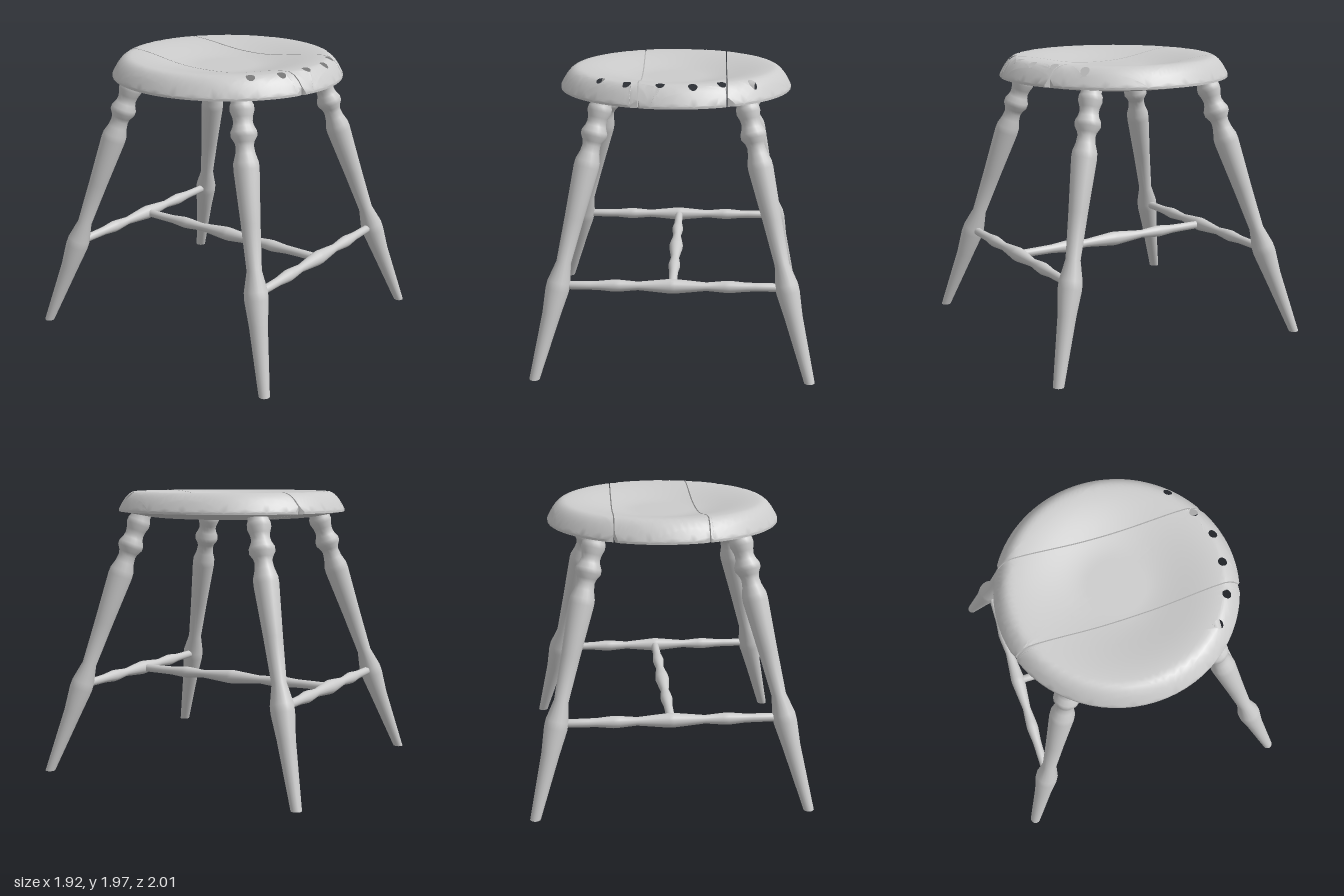
import * as THREE from 'three';
import { toCreasedNormals } from 'three/addons/utils/BufferGeometryUtils.js';

const grey = new THREE.MeshStandardMaterial({ color: 0xcccccc });
const SEAT_R = 0.81;
const SLAB = 0.15;

function add(parent, geometry, name) {
  const mesh = new THREE.Mesh(geometry, grey);
  mesh.name = name;
  parent.add(mesh);
  return mesh;
}

// Turned part: profile of [radius, position], stood along the line from a to b.
// The profile positions run from y0 to y1.
function turned(profile, y0, y1, a, b) {
  const points = profile.map(([r, y]) => new THREE.Vector2(r, (y - y0) / (y1 - y0) * a.distanceTo(b)));
  const geo = new THREE.LatheGeometry(points, 18);
  const dir = b.clone().sub(a).normalize();
  geo.applyQuaternion(new THREE.Quaternion().setFromUnitVectors(new THREE.Vector3(0, 1, 0), dir));
  geo.translate(a.x, a.y, a.z);
  return geo;
}

// Halve every edge longer than max, so a flat slab can be bent smoothly.
function subdivide(geometry, max) {
  const src = geometry.index ? geometry.toNonIndexed() : geometry;
  const p = src.attributes.position;
  const stack = [], out = [];
  for (let i = 0; i < p.count; i += 3) {
    stack.push([0, 1, 2].map((k) => new THREE.Vector3().fromBufferAttribute(p, i + k)));
  }
  while (stack.length) {
    const t = stack.pop();
    const len = t.map((v, k) => v.distanceTo(t[(k + 1) % 3]));
    const k = len.indexOf(Math.max(...len));
    if (len[k] <= max) {
      t.forEach((v) => out.push(v.x, v.y, v.z));
      continue;
    }
    const [a, b, c] = [t[k], t[(k + 1) % 3], t[(k + 2) % 3]];
    const m = a.clone().add(b).multiplyScalar(0.5);
    stack.push([a, m, c], [m, b, c]);
  }
  const geo = new THREE.BufferGeometry();
  geo.setAttribute('position', new THREE.Float32BufferAttribute(out, 3));
  return geo;
}

// Dished top with a rolled rim, and a nearly flat underside with a lifted edge.
function seatTop(x, z) {
  const r = Math.hypot(x, z);
  if (r < 0.69) return 1.895 + 0.075 * THREE.MathUtils.smoothstep(r, 0.2, 0.69);
  return 1.97 - 0.125 * ((r - 0.69) / 0.12) ** 2;
}
function seatBottom(x, z) {
  const r = Math.hypot(x, z);
  return 1.785 + 0.045 * THREE.MathUtils.smoothstep(r, 0.5, 0.9) / 0.87;
}

// One plank: the disc clipped between two seam lines, with its drilled holes.
function plank(left, right, holes) {
  const outline = [];
  for (let i = 0; i < 72; i++) {
    const a = i / 72 * Math.PI * 2;
    const z = SEAT_R * Math.sin(a);
    const x = THREE.MathUtils.clamp(SEAT_R * Math.cos(a), left(z), right(z));
    if (Math.hypot(x, z) <= SEAT_R + 1e-6) outline.push(new THREE.Vector2(x, -z));
  }
  const shape = new THREE.Shape(outline);
  for (const [x, z] of holes) {
    const path = new THREE.Path();
    path.absarc(x, -z, 0.03, 0, Math.PI * 2, true);
    shape.holes.push(path);
  }
  const slab = new THREE.ExtrudeGeometry(shape, { depth: SLAB, bevelEnabled: false, curveSegments: 10 });
  slab.rotateX(-Math.PI / 2);
  const geo = subdivide(slab, 0.045);
  const p = geo.attributes.position;
  for (let i = 0; i < p.count; i++) {
    const x = p.getX(i), z = p.getZ(i);
    p.setY(i, THREE.MathUtils.lerp(seatBottom(x, z), seatTop(x, z), p.getY(i) / SLAB));
  }
  return toCreasedNormals(geo, 0.6);
}

export function createModel() {
  const model = new THREE.Group();
  model.name = 'stool';

  // Seat of three planks with narrow gaps between them
  const seat = new THREE.Group();
  seat.name = 'seat';
  model.add(seat);
  const seamA = (z) => -0.238 + 0.02 * z;
  const seamB = (z) => 0.358 - 0.008 * z;
  const gap = 0.004;
  add(seat, plank(() => -1, (z) => seamA(z) - gap, [[-0.48, 0.53], [-0.3, 0.65]]), 'rightPlank');
  add(seat, plank((z) => seamA(z) + gap, (z) => seamB(z) - gap,
    [[-0.08, 0.7], [0.13, 0.71], [0.315, 0.64]]), 'middlePlank');
  add(seat, plank((z) => seamB(z) + gap, () => 1, [[0.52, 0.53]]), 'leftPlank');

  // Four splayed, turned legs
  const legProfile = [
    [0, -0.04], [0.037, -0.04], [0.062, 0.42], [0.08, 0.58], [0.079, 0.63], [0.05, 0.76],
    [0.065, 1.05], [0.086, 1.38], [0.084, 1.42], [0.066, 1.475], [0.064, 1.49], [0.06, 1.52],
    [0.066, 1.545], [0.088, 1.58], [0.088, 1.61], [0.07, 1.645], [0.064, 1.67], [0.068, 1.7],
    [0.082, 1.74], [0.08, 1.77], [0.07, 1.79], [0.07, 1.84], [0, 1.84],
  ];
  for (const sx of [1, -1]) {
    for (const sz of [1, -1]) {
      const foot = new THREE.Vector3(0.917 * sx, 0, 0.957 * sz);
      const top = new THREE.Vector3(0.475 * sx, 1.84, 0.452 * sz);
      const geo = turned(legProfile, 0, 1.84, foot, top);
      // Cut the foot level with the floor
      const p = geo.attributes.position;
      for (let i = 0; i < p.count; i++) p.setY(i, Math.max(0, p.getY(i)));
      add(model, toCreasedNormals(geo, 0.7), (sz > 0 ? 'front' : 'back') + (sx > 0 ? 'Left' : 'Right') + 'Leg');
    }
  }

  // Turned stretchers: front, back, and a crosspiece joining their middles
  const half = [[0, 0.75], [0.028, 0.75], [0.03, 0.56], [0.031, 0.5], [0.042, 0.39], [0.04, 0.35], [0.029, 0.23]];
  const profile = [
    ...half.map(([r, y]) => [r, -y]), [0.05, -0.015], [0.05, 0.015], ...[...half].reverse(),
  ];
  const y = 0.61;
  for (const sz of [1, -1]) {
    add(model, turned(profile, -0.75, 0.75,
      new THREE.Vector3(-0.75, y, 0.785 * sz), new THREE.Vector3(0.75, y, 0.785 * sz)),
    sz > 0 ? 'frontStretcher' : 'backStretcher');
  }
  add(model, turned(profile, -0.75, 0.75,
    new THREE.Vector3(0, y, -0.78), new THREE.Vector3(0, y, 0.78)), 'crossStretcher');

  return model;
}
